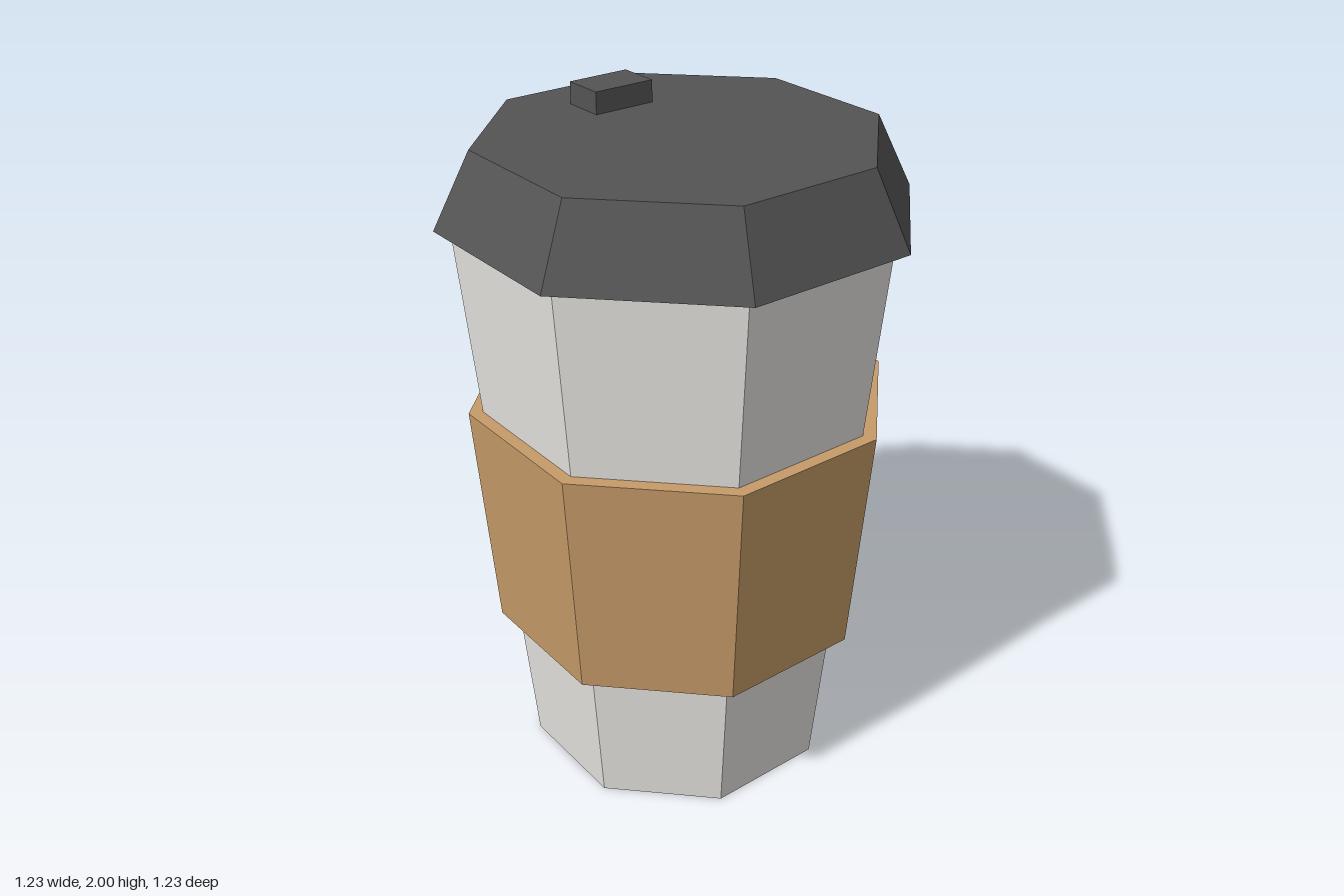
import * as THREE from 'three';

const SIDES = 8;

export function createModel() {
  const group = new THREE.Group();
  group.name = 'takeawayCup';

  const material = (name, color) => {
    const m = new THREE.MeshStandardMaterial({ color, flatShading: true });
    m.name = name;
    return m;
  };
  const paper = material('paper white', 0xf2f0ec);
  const cardboard = material('cardboard brown', 0xc69b69);
  const plastic = material('dark plastic', 0x545454);

  const add = (name, geometry, mat) => {
    const mesh = new THREE.Mesh(geometry, mat);
    mesh.name = name;
    group.add(mesh);
  };

  // Octagonal frustum with a flat side to the front, sized by its half widths
  const frustum = (bottom, top, y0, y1) => {
    const k = 1 / Math.cos(Math.PI / SIDES);
    return new THREE.CylinderGeometry(top * k, bottom * k, y1 - y0, SIDES)
      .rotateY(Math.PI / SIDES)
      .translate(0, (y0 + y1) / 2, 0);
  };

  add('cupBody', frustum(0.432, 0.577, 0, 1.73), paper);
  add('sleeve', frustum(0.52, 0.568, 0.473, 1.175), cardboard);
  add('lid', frustum(0.617, 0.518, 1.726, 1.937), plastic);

  // Small raised tab near the back of the lid
  add('lidTab', new THREE.BoxGeometry(0.19, 0.08, 0.125).translate(0, 1.96, -0.313), plastic);

  return group;
}
